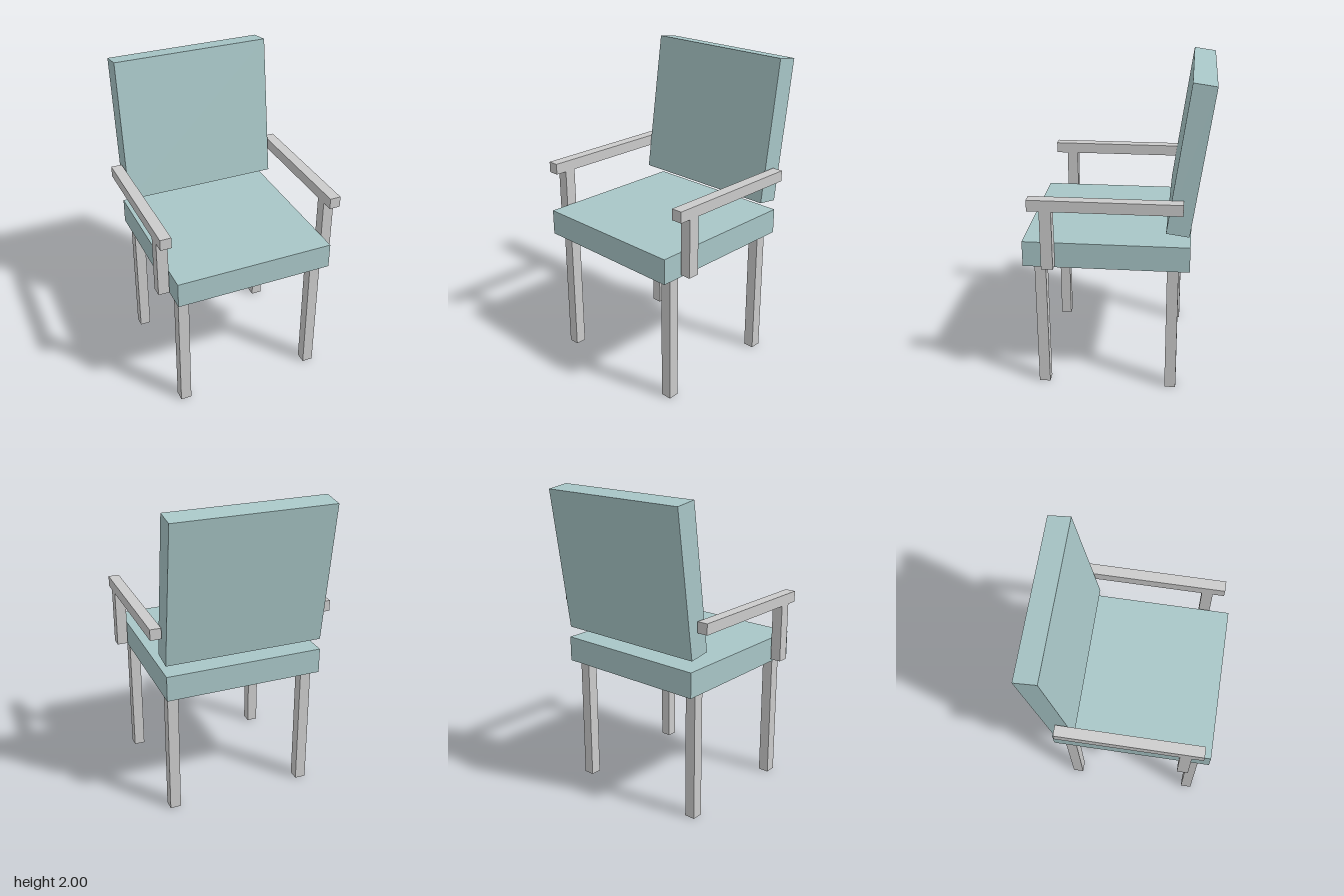
import * as THREE from 'three';

export function createModel() {
  const chair = new THREE.Group();
  chair.name = 'armchair';
  const frame = new THREE.MeshStandardMaterial({ color: 0xcccccc, flatShading: true });
  const cushion = new THREE.MeshStandardMaterial({ color: 0xa8c6c7, flatShading: true });

  const addBox = (name, material, size, position) => {
    const mesh = new THREE.Mesh(new THREE.BoxGeometry(...size), material);
    mesh.name = name;
    mesh.position.set(...position);
    chair.add(mesh);
    return mesh;
  };

  // Seat and reclined backrest
  addBox('seat', cushion, [1.02, 0.163, 1.022], [0, 0.922, 0.061]);
  const back = addBox('backrest', cushion, [1.02, 0.918, 0.141], [0, 1.536, -0.436]);
  back.rotation.x = -0.142;

  // Legs, armrests and their front posts, mirrored left and right
  for (const [side, s] of [['left', 1], ['right', -1]]) {
    addBox(side + 'FrontLeg', frame, [0.07, 0.84, 0.07], [s * 0.452, 0.42, 0.468]);
    addBox(side + 'BackLeg', frame, [0.07, 0.84, 0.07], [s * 0.452, 0.42, -0.347]);
    addBox(side + 'Armrest', frame, [0.07, 0.07, 0.919], [s * 0.553, 1.271, 0.057]);
    addBox(side + 'ArmPost', frame, [0.07, 0.375, 0.072], [s * 0.553, 1.049, 0.407]);
  }
  return chair;
}
